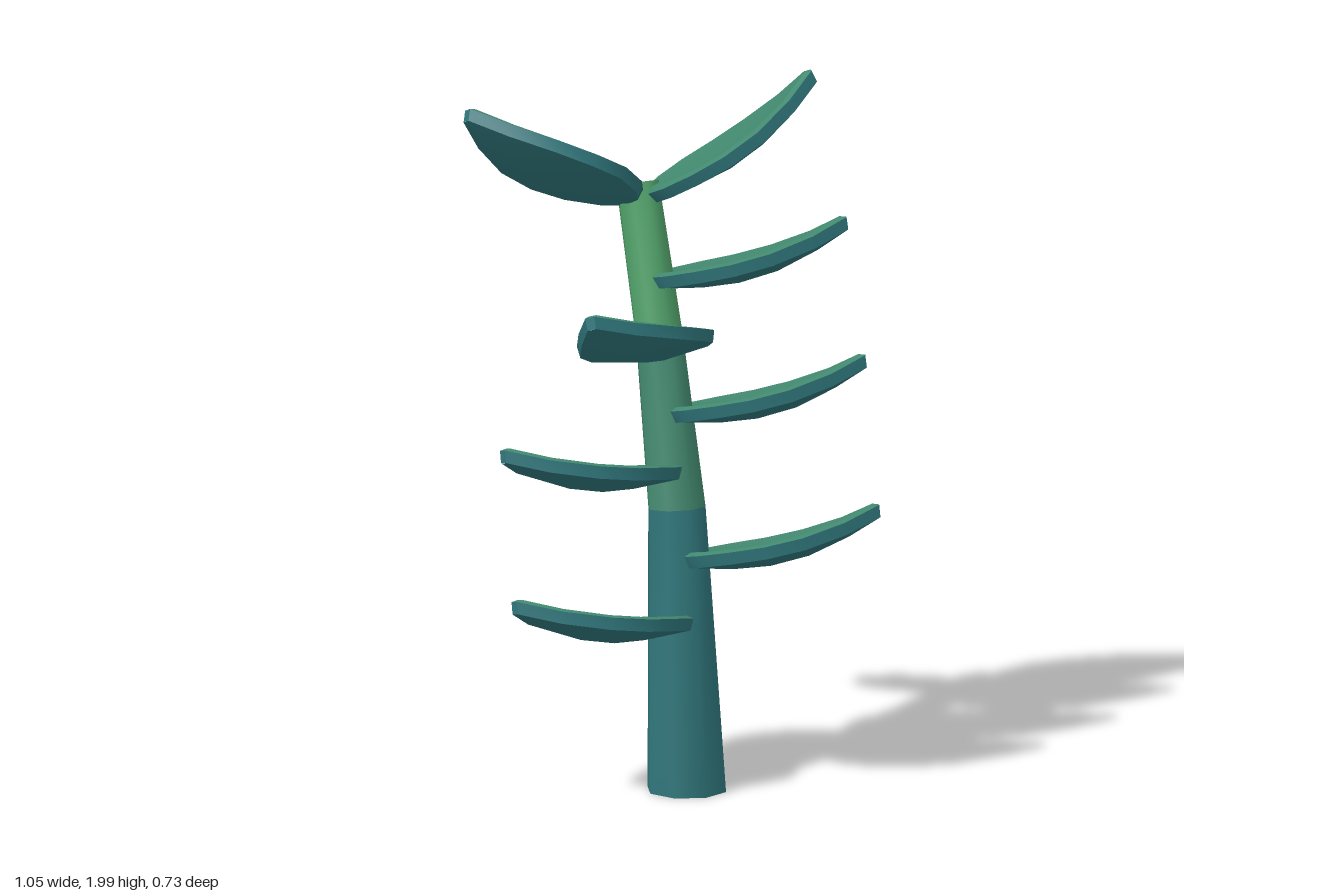
import * as THREE from 'three';
import { toCreasedNormals } from 'three/addons/utils/BufferGeometryUtils.js';

const mat = (name, color) => {
  const m = new THREE.MeshStandardMaterial({ color });
  m.name = name;
  return m;
};

// Leaf outline: [fraction of length, half width]
const OUTLINE = [[0, 0.045], [0.07, 0.105], [0.22, 0.165], [0.4, 0.18], [0.6, 0.16], [0.82, 0.09], [1, 0.014]];

// One layer of the leaf: rows of [right, middle, left] points, bowed and slightly cupped
function layer(length, shrink, drop, belly) {
  return OUTLINE.map(([u, half]) => {
    const t = 0.5 + (u - 0.5) * (1 - (1 - shrink) * 0.5);
    return [-1, 0, 1].map((s) => {
      const z = s * half * shrink;
      const sag = -0.045 * Math.sin(Math.PI * t);
      const cup = 0.02 * (z / 0.18) ** 2;
      const fat = s === 0 ? belly * Math.sin(Math.PI * t) : 0;
      return new THREE.Vector3(t * length, sag + cup - drop - fat, z);
    });
  });
}

function fromTriangles(points) {
  const g = new THREE.BufferGeometry().setFromPoints(points);
  g.computeVertexNormals();
  return toCreasedNormals(g, 0.6);
}

// Fills a layer from edge to edge
function sheet(rows, flip) {
  const out = [];
  for (let i = 0; i < rows.length - 1; i++) {
    for (let j = 0; j < 2; j++) {
      const a = rows[i][j], b = rows[i][j + 1], c = rows[i + 1][j + 1], d = rows[i + 1][j];
      out.push(...(flip ? [a, c, b, a, d, c] : [a, b, c, a, c, d]));
    }
  }
  return out;
}

// Joins the perimeters of two layers
function band(upper, lower) {
  const loop = (r) => [...r.map((p) => p[2]), ...r.map((p) => p[0]).reverse()];
  const U = loop(upper), L = loop(lower), out = [];
  U.forEach((p, i) => {
    const k = (i + 1) % U.length;
    out.push(p, L[i], L[k], p, L[k], U[k]);
  });
  return out;
}

function makeLeaf(name, base, tip, side, topMat, underMat) {
  const b = new THREE.Vector3(...base);
  const x = new THREE.Vector3(...tip).sub(b);
  const length = x.length();
  x.normalize();
  const z = new THREE.Vector3(...side);
  z.addScaledVector(x, -z.dot(x)).normalize();
  const y = z.clone().cross(x);
  if (y.y < 0) { y.negate(); z.negate(); }

  const inner = layer(length, 0.87, 0, 0);
  const edge = layer(length, 1, 0.012, 0);
  const low = layer(length, 0.96, 0.045, 0.012);

  const leaf = new THREE.Group();
  leaf.name = name;
  const parts = [
    ['leafFace', sheet(inner, false), topMat],
    ['leafBevel', band(inner, edge), topMat],
    ['leafRim', band(edge, low), underMat],
    ['leafUnderside', sheet(low, true), underMat],
  ];
  for (const [partName, pts, m] of parts) {
    const mesh = new THREE.Mesh(fromTriangles(pts), m);
    mesh.name = partName;
    leaf.add(mesh);
  }
  leaf.applyMatrix4(new THREE.Matrix4().makeBasis(x, y, z).setPosition(b));
  return leaf;
}

export function createModel() {
  const model = new THREE.Group();
  model.name = 'leafyPlant';
  const teal = mat('deep teal', 0x2f757a);
  const mid = mat('sea green', 0x42886f);
  const bright = mat('fresh green', 0x4f9f68);

  // Stem: eight-sided, tapering and leaning back; stations are [y, z, radius, tilt]
  const stations = [[0, 0.1, 0.115, 0], [0.8, 0.04, 0.084, 0.1], [1.26, -0.065, 0.069, 0.22], [1.68, -0.2, 0.062, 0.3]];
  [teal, mid, bright].forEach((m, i) => {
    const lo = stations[i], hi = stations[i + 1];
    const open = i === 1;
    const g = new THREE.CylinderGeometry(hi[2], lo[2], 1, 8, 1, open);
    const p = g.attributes.position;
    for (let k = 0; k < p.count; k++) {
      const s = p.getY(k) > 0 ? hi : lo;
      p.setXYZ(k, p.getX(k) + 0.035, s[0] + p.getZ(k) * s[3], s[1] + p.getZ(k));
    }
    const mesh = new THREE.Mesh(toCreasedNormals(g, 0.95), m);
    mesh.name = ['lowerStem', 'middleStem', 'upperStem'][i];
    model.add(mesh);
  });

  // Leaves on the +x side, stacked up the stem
  [[0.68, 0.09], [1.08, 0.005], [1.44, -0.11]].forEach(([y, z], i) => {
    model.add(makeLeaf(`leftLeaf${i + 1}`, [0.03, y, z], [0.52, y + 0.145 + i * 0.012, z + 0.235],
      [-0.4, 0.2, 0.9], mid, teal));
  });
  // Leaves on the -x side
  [[0.5, 0.09], [0.92, 0.02]].forEach(([y, z], i) => {
    model.add(makeLeaf(`rightLeaf${i + 1}`, [0.035, y, z], [-0.52, y + 0.12, z + 0.035],
      [0.06, 0.22, 0.95], mid, teal));
  });
  model.add(makeLeaf('rightLeaf3', [0.08, 1.27, -0.02], [-0.365, 1.455, 0.28], [0.28, 0.08, 0.24], mid, teal));

  // Crown pair at the top
  model.add(makeLeaf('leftCrownLeaf', [0.035, 1.67, -0.16], [0.485, 2.0, -0.03], [-0.02, 0.12, 0.345], mid, teal));
  model.add(makeLeaf('rightCrownLeaf', [0.015, 1.67, -0.17], [-0.475, 1.95, -0.24], [0.05, 0.12, 0.315], mid, teal));
  return model;
}
